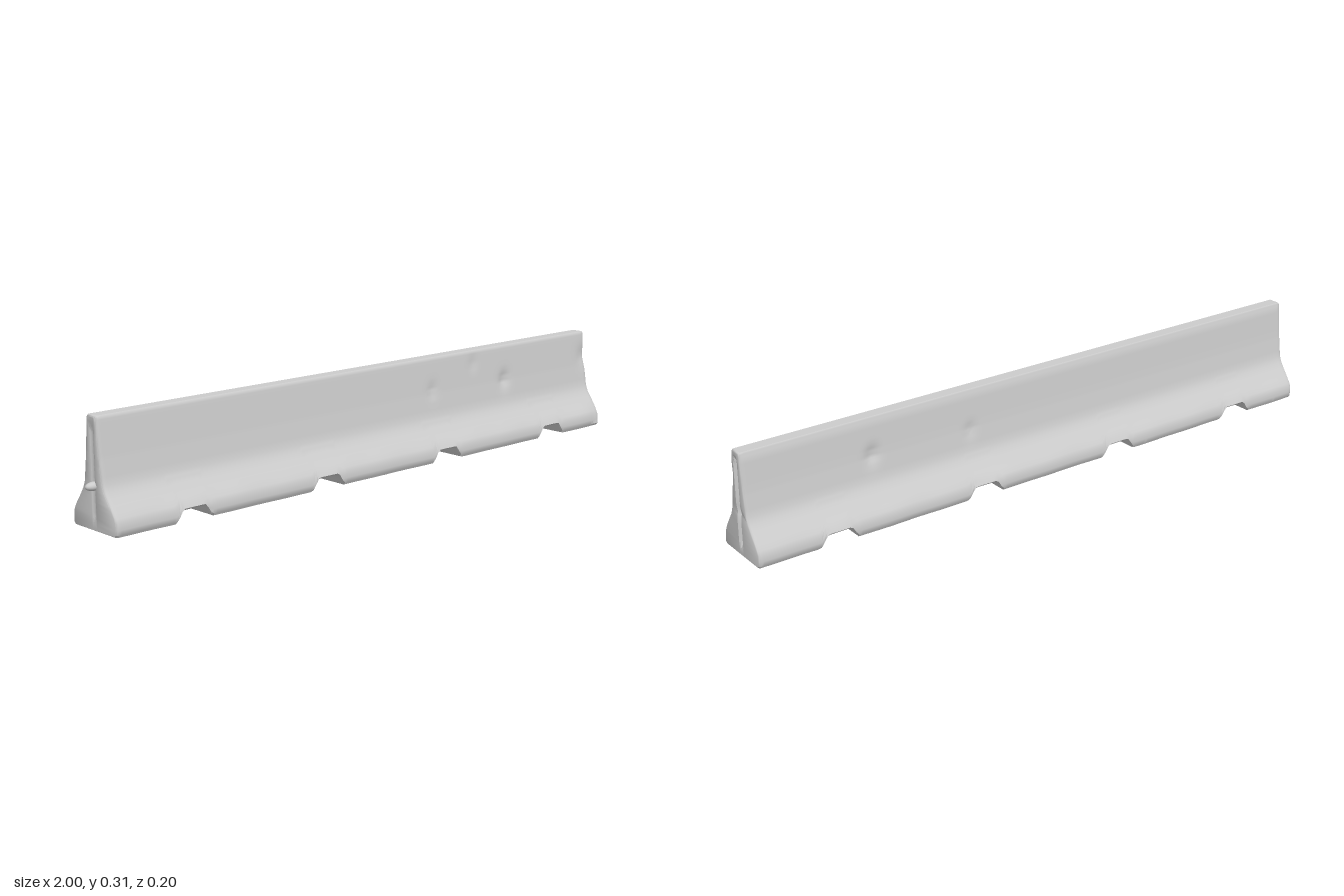
import * as THREE from 'three';
import { mergeGeometries, toCreasedNormals } from 'three/addons/utils/BufferGeometryUtils.js';

const X0 = -0.975, X1 = 1;

// half-width of the concrete section by height: [y, w]
const PROFILE = [[0, 0.1], [0.038, 0.1], [0.05, 0.094], [0.08, 0.071], [0.11, 0.05],
  [0.13, 0.042], [0.2, 0.032], [0.3, 0.0225], [0.307, 0.0215], [0.311, 0.018]];
const ROWS = [0, 0.007, 0.02, 0.038, 0.05, 0.065, 0.08, 0.095, 0.11, 0.12, 0.13, 0.15,
  0.17, 0.18, 0.19, 0.2, 0.21, 0.22, 0.235, 0.25, 0.265, 0.28, 0.3, 0.307, 0.311];

// chips in the faces: x, y, side (front 1, back -1), depth, radius
const DENTS = [
  [0.59, 0.2, 1, 0.010, 0.022], [0.45, 0.27, 1, 0.004, 0.02], [0.26, 0.21, 1, 0.005, 0.02],
  [0.6, 0.2, -1, 0.010, 0.022], [0.27, 0.19, -1, 0.005, 0.02],
  [0.995, 0.23, 1, 0.008, 0.03], [0.99, 0.04, 1, 0.004, 0.03],
];
const NOTCHES = [-0.72, -0.235, 0.26, 0.75];

function halfWidth(y) {
  let i = 1;
  while (i < PROFILE.length - 1 && PROFILE[i][0] < y) i++;
  const [ya, wa] = PROFILE[i - 1], [yb, wb] = PROFILE[i];
  return THREE.MathUtils.mapLinear(y, ya, yb, wa, wb);
}

// height of the underside, raised at the drainage slots
function underside(x) {
  let b = 0;
  for (const c of NOTCHES) b = Math.max(b, 0.034 * (1 - THREE.MathUtils.smoothstep(Math.abs(x - c), 0.034, 0.062)));
  return b;
}

// a point on the section's edge at station x; inset rounds off the ends
function edgePoint(x, row, side, inset) {
  const base = ROWS[row];
  const y = base < 0.12 ? base + underside(x) * (1 - base / 0.12) : base;
  let w = halfWidth(y) - (row === 0 ? 0.006 : 0) - inset;
  if (y < 0.06) w -= 0.0015 * (1 + Math.sin(x * 11 + side) * Math.sin(x * 23));
  for (const [dx, dy, s, depth, r] of DENTS) {
    if (s === side) w -= depth * Math.exp(-((x - dx) ** 2 + (y - dy) ** 2) / (r * r));
  }
  const top = row > ROWS.length - 4 ? inset : 0;
  const bottom = row === 0 ? inset * 0.5 : 0;
  return new THREE.Vector3(x, y - top + bottom, side * w - 0.002 * y / 0.3);
}

// surface through a grid of points, rows[u][v]
function gridSurface(rows) {
  const pos = [], index = [], n = rows[0].length;
  rows.forEach((row, u) => row.forEach((p, v) => {
    pos.push(p.x, p.y, p.z);
    if (u && v) {
      const a = (u - 1) * n + v - 1, b = u * n + v - 1;
      index.push(a, b, b + 1, a, b + 1, a + 1);
    }
  }));
  const g = new THREE.BufferGeometry();
  g.setAttribute('position', new THREE.Float32BufferAttribute(pos, 3));
  g.setIndex(index);
  return g;
}

function bodyShell() {
  const n = 200, stations = [[X0, 0.005], [X0 + 0.002, 0.002]];
  for (let i = 0; i <= n; i++) stations.push([THREE.MathUtils.lerp(X0 + 0.006, X1 - 0.006, i / n), 0]);
  stations.push([X1 - 0.002, 0.002], [X1, 0.005]);
  return gridSurface(stations.map(([x, inset]) => {
    const front = ROWS.map((_, j) => edgePoint(x, j, 1, inset));
    const back = ROWS.map((_, j) => edgePoint(x, j, -1, inset)).reverse();
    return [...front, ...back, front[0].clone()];
  }));
}

// end face with a shallow vertical keyway; dir is +1 or -1 along x
function endFace(dir) {
  const x = dir > 0 ? X1 : X0, smooth = THREE.MathUtils.smoothstep;
  const depth = dir > 0 ? 0.012 : 0.006;
  return gridSurface(ROWS.map((_, j) => {
    const a = edgePoint(x, j, -1, 0.005), b = edgePoint(x, j, 1, 0.005);
    const mid = [-0.011, -0.008, -0.004, 0, 0.004, 0.008, 0.011].map((z) => {
      const key = (1 - smooth(Math.abs(z), 0.003, 0.0105)) * smooth(a.y, 0.015, 0.04) * (1 - smooth(a.y, 0.27, 0.3));
      const pocket = dir > 0 ? 0.01 * Math.exp(-(z * z + (a.y - 0.13) ** 2) / 0.00012) : 0;
      return new THREE.Vector3(x - dir * (depth * key + pocket), a.y, z - 0.002 * a.y / 0.3);
    });
    const row = [a, ...mid, b];
    return dir > 0 ? row : row.reverse();
  }));
}

export function createModel() {
  const group = new THREE.Group();
  group.name = 'roadBarrier';
  const concrete = new THREE.MeshStandardMaterial({ color: 0xcccccc });

  const body = new THREE.Mesh(
    toCreasedNormals(mergeGeometries([bodyShell(), endFace(1), endFace(-1)]), 0.75), concrete);
  body.name = 'barrierBody';
  group.add(body);

  // connecting lug on the right-hand end
  const lug = new THREE.Mesh(new THREE.SphereGeometry(1, 16, 12), concrete);
  lug.name = 'connectingLug';
  lug.scale.set(0.025, 0.012, 0.014);
  lug.position.set(-0.975, 0.122, 0);
  group.add(lug);
  return group;
}
